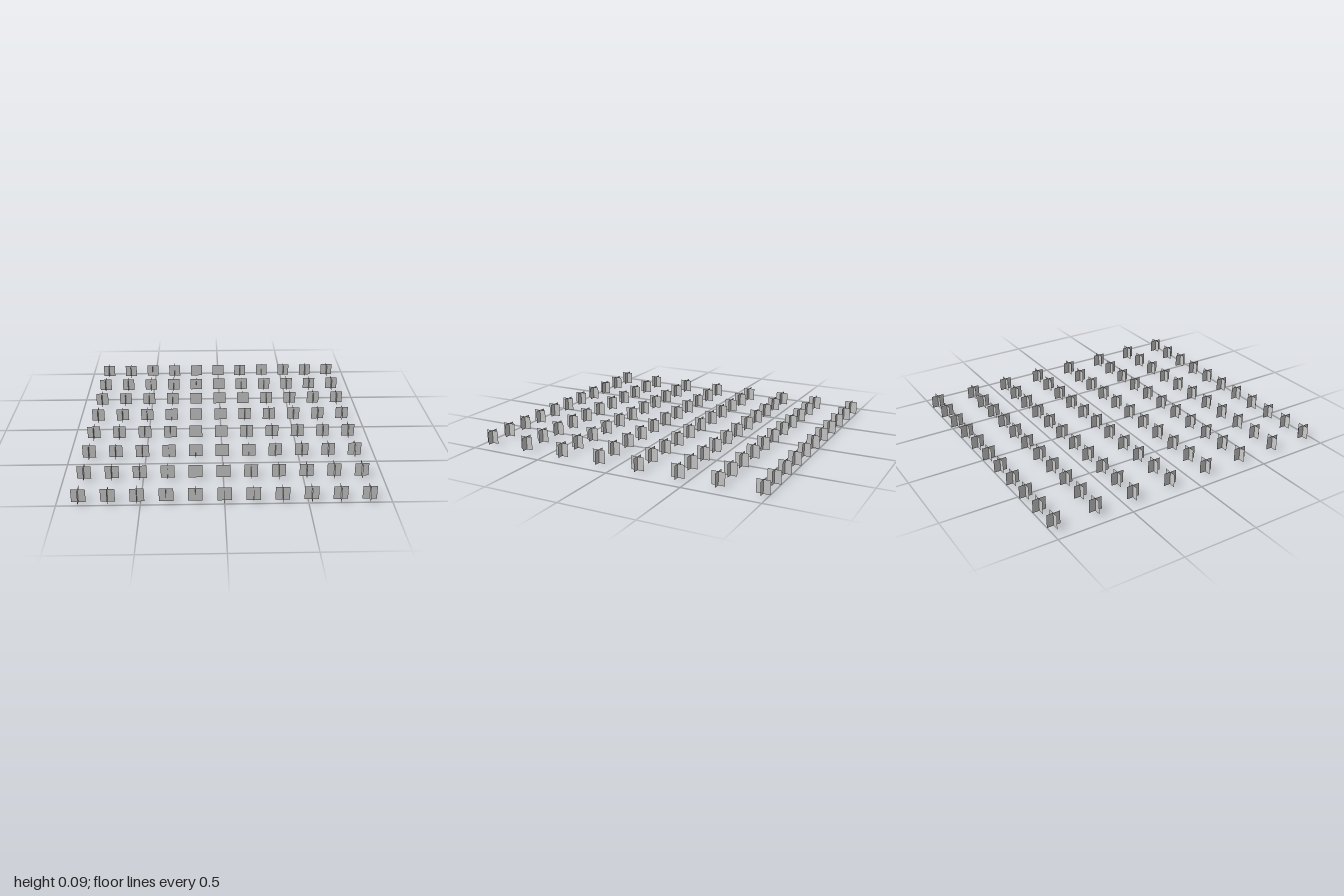
import * as THREE from 'three';

const SIZE = 0.087;          // width and height of every card
const COLUMNS = 11;
const COLUMN_STEP = 0.174;
const ROWS = [0.957, 0.68, 0.404, 0.129, -0.145, -0.418, -0.68, -0.957];

export function createModel() {
  const model = new THREE.Group();
  model.name = 'plantField';

  const material = new THREE.MeshStandardMaterial({ color: 0xcccccc, side: THREE.DoubleSide });
  const card = new THREE.PlaneGeometry(SIZE, SIZE).translate(0, SIZE / 2, 0);

  // One plant: two upright cards crossing at right angles
  function createPlant() {
    const plant = new THREE.Group();
    plant.name = 'plant';
    ['cardAcross', 'cardAlong'].forEach((name, i) => {
      const mesh = new THREE.Mesh(card, material);
      mesh.name = name;
      mesh.rotation.y = i * Math.PI / 2;
      plant.add(mesh);
    });
    return plant;
  }

  // Rows of plants from front to back
  ROWS.forEach((z) => {
    const row = new THREE.Group();
    row.name = 'plantRow';
    row.position.z = z;
    for (let c = 0; c < COLUMNS; c++) {
      const plant = createPlant();
      plant.position.x = (c - (COLUMNS - 1) / 2) * COLUMN_STEP;
      row.add(plant);
    }
    model.add(row);
  });

  return model;
}
